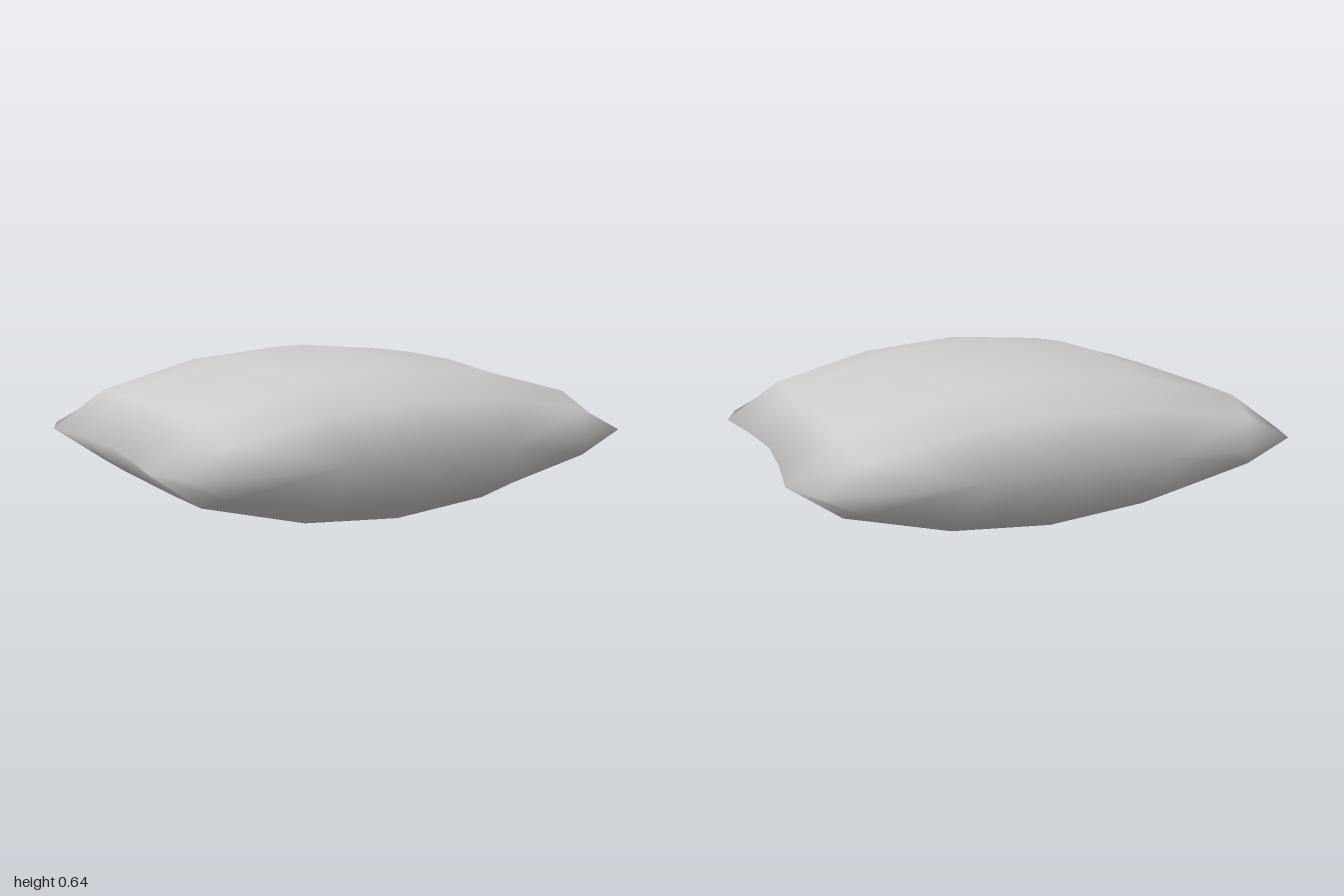
import * as THREE from 'three';
import { mergeVertices } from 'three/addons/utils/BufferGeometryUtils.js';

// One quarter of the pillow's top: rows from the middle to the seam, each point [x, z, height above the seam]
const QUARTER = [
  [[0, 0, 0.318], [0.4, 0, 0.28], [0.8, 0, 0.15], [0.94, 0, 0]],
  [[0, 0.245, 0.312], [0.4, 0.245, 0.275], [0.8, 0.245, 0.15], [0.962, 0.25, 0]],
  [[0, 0.485, 0.283], [0.4, 0.485, 0.25], [0.8, 0.485, 0.145], [1, 0.51, 0]],
  [[0, 0.66, 0.184], [0.4, 0.66, 0.16], [0.77, 0.645, 0.09], [0.94, 0.667, 0]],
  [[0, 0.718, 0], [0.36, 0.733, 0], [0.69, 0.75, 0], [0.94, 0.667, 0]],
];
const SEAM_Y = 0.32;

// Mirrors the quarter across x, z and the seam plane
function point(i, j, side) {
  const [x, z, h] = QUARTER[Math.abs(j)][Math.abs(i)];
  return [Math.sign(i) * x, SEAM_Y + side * h, Math.sign(j) * z];
}

function pillowGeometry() {
  const positions = [];
  for (const side of [1, -1]) {
    const triangle = (a, b, c) => positions.push(...(side > 0 ? [a, b, c] : [a, c, b]).flat());
    for (let i = -3; i < 3; i++) {
      for (let j = -4; j < 4; j++) {
        const a = point(i, j, side), b = point(i + 1, j, side);
        const c = point(i, j + 1, side), d = point(i + 1, j + 1, side);
        // Diagonals follow the mirror symmetry
        if ((i < 0) === (j < 0)) {
          triangle(a, c, b);
          triangle(b, c, d);
        } else {
          triangle(a, c, d);
          triangle(a, d, b);
        }
      }
    }
  }
  let geometry = new THREE.BufferGeometry();
  geometry.setAttribute('position', new THREE.Float32BufferAttribute(positions, 3));
  geometry = mergeVertices(geometry, 1e-4); // joins the halves for smooth shading over the seam
  geometry.computeVertexNormals();
  return geometry;
}

export function createModel() {
  const group = new THREE.Group();
  group.name = 'pillow';
  const cushion = new THREE.Mesh(pillowGeometry(), new THREE.MeshStandardMaterial({ color: 0xcccccc }));
  cushion.name = 'cushion';
  group.add(cushion);
  return group;
}
